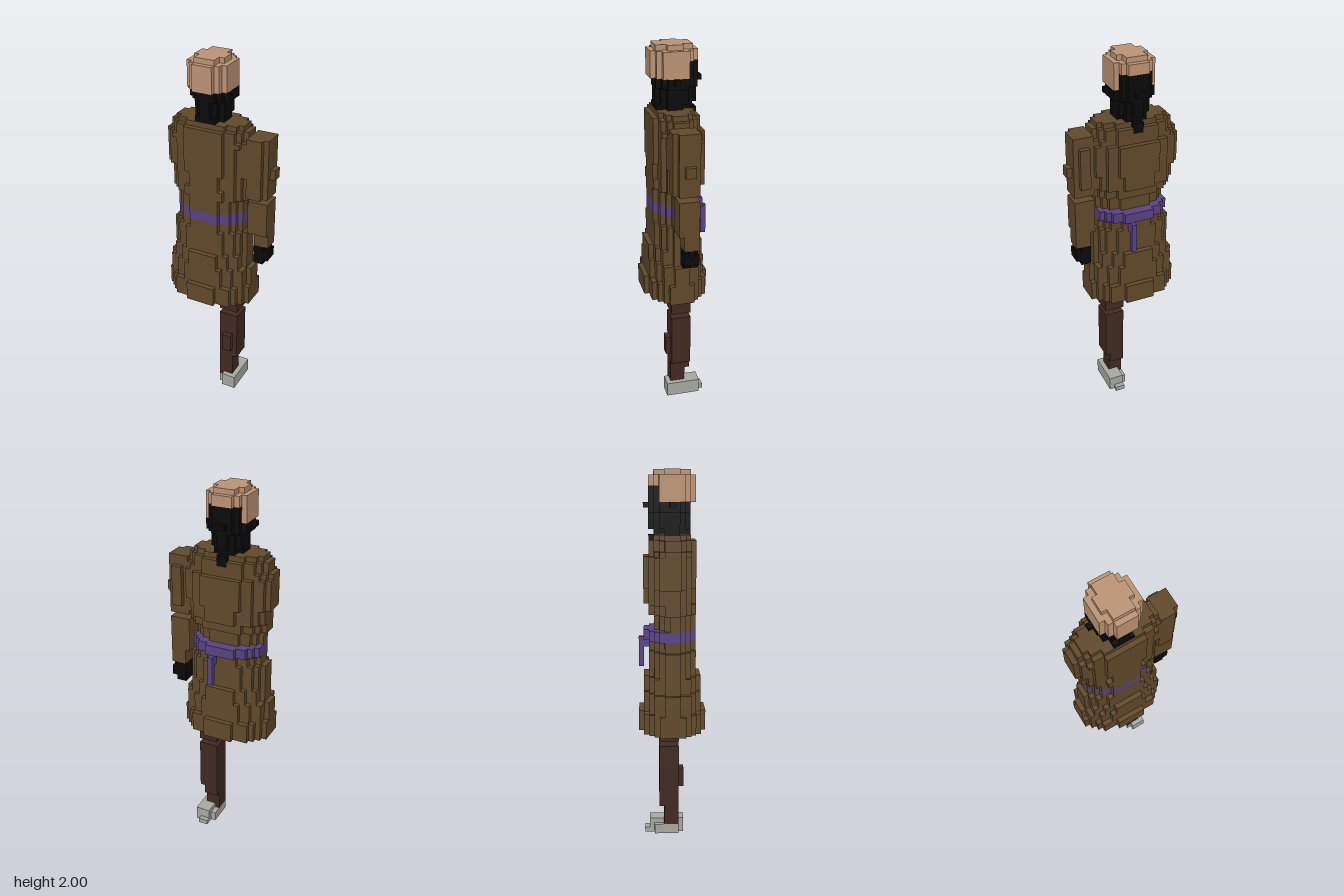
import * as THREE from 'three';

// Block grid: 22 x 74 x 13 cells, cell edge U, centred on x and z
const U = 2 / 74, NX = 22, NZ = 13;
const mat = (name, color) => Object.assign(new THREE.MeshStandardMaterial({ color }), { name });

// The six face directions with two in-plane axes u, v where u x v = outward normal
const FACES = [
  [[1, 0, 0], [0, 1, 0], [0, 0, 1]], [[-1, 0, 0], [0, 0, 1], [0, 1, 0]],
  [[0, 1, 0], [0, 0, 1], [1, 0, 0]], [[0, -1, 0], [1, 0, 0], [0, 0, 1]],
  [[0, 0, 1], [1, 0, 0], [0, 1, 0]], [[0, 0, -1], [0, 1, 0], [1, 0, 0]],
];

export function createModel() {
  const cells = new Map(); // 'i,j,k' -> part name
  const set = (part, i, j, k) => cells.set(`${i},${j},${k}`, part);

  // Solid block of cells, upper limits exclusive
  const box = (part, x0, x1, y0, y1, z0, z1) => {
    for (let i = x0; i < x1; i++)
      for (let j = y0; j < y1; j++)
        for (let k = z0; k < z1; k++) set(part, i, j, k);
  };
  // Stepped elliptical slab around column cx, from z0 to z1
  const slab = (part, cx, rx, y0, y1, z0, z1) => {
    const cz = (z0 + z1) / 2, rz = (z1 - z0) / 2;
    for (let k = z0; k < z1; k++) {
      const d = (k + 0.5 - cz) / rz;
      const h = Math.round(rx * Math.sqrt(1 - d * d));
      box(part, cx - h, cx + h, y0, y1, k, k + 1);
    }
  };

  // Coat: flared skirt, waist, chest and shoulders [y0, y1, rx, z0, z1]
  [
    [24, 28, 9, 0, 13], [28, 32, 9, 1, 12], [32, 35, 8, 1, 12], [35, 40, 8, 2, 11],
    [40, 42, 7, 2, 11], [44, 47, 7, 3, 11], [47, 49, 8, 2, 11], [49, 52, 8, 1, 11],
    [52, 58, 9, 1, 11], [58, 59, 9, 2, 11], [59, 61, 8, 2, 11], [61, 62, 7, 3, 10],
  ].forEach(([y0, y1, rx, z0, z1]) => slab('coat', 9, rx, y0, y1, z0, z1));

  // Belt with a hanging end at the back
  slab('belt', 9, 7, 42, 44, 1, 11);
  box('belt', 10, 11, 36, 42, 0, 1);
  box('belt', 10, 11, 40, 42, 1, 2);

  // Left sleeve: upper arm, then forearm below a one-cell gap
  box('upperSleeve', 17, 20, 48, 60, 4, 9);
  box('upperSleeve', 18, 20, 50, 58, 3, 4);
  box('upperSleeve', 20, 21, 48, 60, 4, 8);
  box('upperSleeve', 21, 22, 52, 54, 5, 7);
  box('lowerSleeve', 17, 21, 40, 47, 4, 8);
  box('lowerSleeve', 18, 21, 37, 40, 4, 7);

  // Left hand
  box('hand', 18, 20, 33, 37, 4, 7);
  box('hand', 20, 21, 34, 36, 4, 7);
  box('hand', 20, 21, 36, 37, 5, 6);

  // Dark lower head, with ears and a lock running down the nape
  slab('face', 9, 3, 62, 63, 3, 10);
  slab('face', 9, 3, 63, 66, 2, 10);
  slab('face', 9, 4, 66, 68, 2, 10);
  box('face', 4, 14, 67, 68, 6, 7);
  box('face', 8, 10, 67, 68, 1, 2);
  box('face', 8, 10, 60, 62, 2, 4);

  // Cap: domed crown, with the dark back of the head set into it
  slab('cap', 9, 4, 68, 73, 2, 11);
  slab('cap', 9, 3, 73, 74, 3, 10);
  for (const key of [...cells.keys()]) {
    const [, j, k] = key.split(',').map(Number);
    if (cells.get(key) === 'cap' && j < 71 && k < 4) cells.set(key, 'backOfHead');
  }

  // Left leg: short thigh, gap, and a tapering shin with a knee bump
  box('thigh', 11, 15, 20, 24, 4, 8);
  box('shin', 11, 15, 8, 19, 4, 8);
  box('shin', 11, 14, 6, 8, 4, 8);
  box('shin', 11, 14, 2, 6, 5, 8);
  box('shin', 12, 14, 10, 14, 8, 9);

  // Shoe
  box('shoe', 11, 15, 0, 2, 3, 8);
  box('shoe', 12, 15, 2, 3, 3, 5);
  box('shoe', 14, 15, 2, 3, 5, 8);
  box('shoe', 12, 15, 0, 3, 8, 9);
  box('shoe', 12, 15, 0, 3, 2, 3);
  box('shoe', 12, 14, 0, 1, 1, 2);

  const brown = mat('coatBrown', 0x624a2b), black = mat('black', 0x0a0a0a);
  const trousers = mat('trouserBrown', 0x422a22);
  const materials = {
    coat: brown, upperSleeve: brown, lowerSleeve: brown,
    belt: mat('purple', 0x594284), hand: black, face: black, backOfHead: black,
    cap: mat('tan', 0xbe9576), thigh: trousers, shin: trousers,
    shoe: mat('grey', 0xa9aaa3),
  };

  // Emit only the exposed cell faces of each part
  const buffers = {};
  for (const [key, part] of cells) {
    const c = key.split(',').map(Number);
    const b = (buffers[part] ??= { pos: [], nor: [] });
    for (const [n, u, v] of FACES) {
      if (cells.has(c.map((a, q) => a + n[q]).join())) continue;
      const corner = (s, t) => c.map((a, q) => a + 0.5 + (n[q] + s * u[q] + t * v[q]) / 2);
      const quad = [corner(-1, -1), corner(1, -1), corner(1, 1), corner(-1, 1)];
      for (const q of [0, 1, 2, 0, 2, 3]) {
        const [x, y, z] = quad[q];
        b.pos.push((x - NX / 2) * U, y * U, (z - NZ / 2) * U);
        b.nor.push(...n);
      }
    }
  }

  const model = new THREE.Group();
  model.name = 'blockFigure';
  for (const [part, { pos, nor }] of Object.entries(buffers)) {
    const geo = new THREE.BufferGeometry();
    geo.setAttribute('position', new THREE.Float32BufferAttribute(pos, 3));
    geo.setAttribute('normal', new THREE.Float32BufferAttribute(nor, 3));
    const mesh = new THREE.Mesh(geo, materials[part]);
    mesh.name = part;
    model.add(mesh);
  }
  return model;
}
